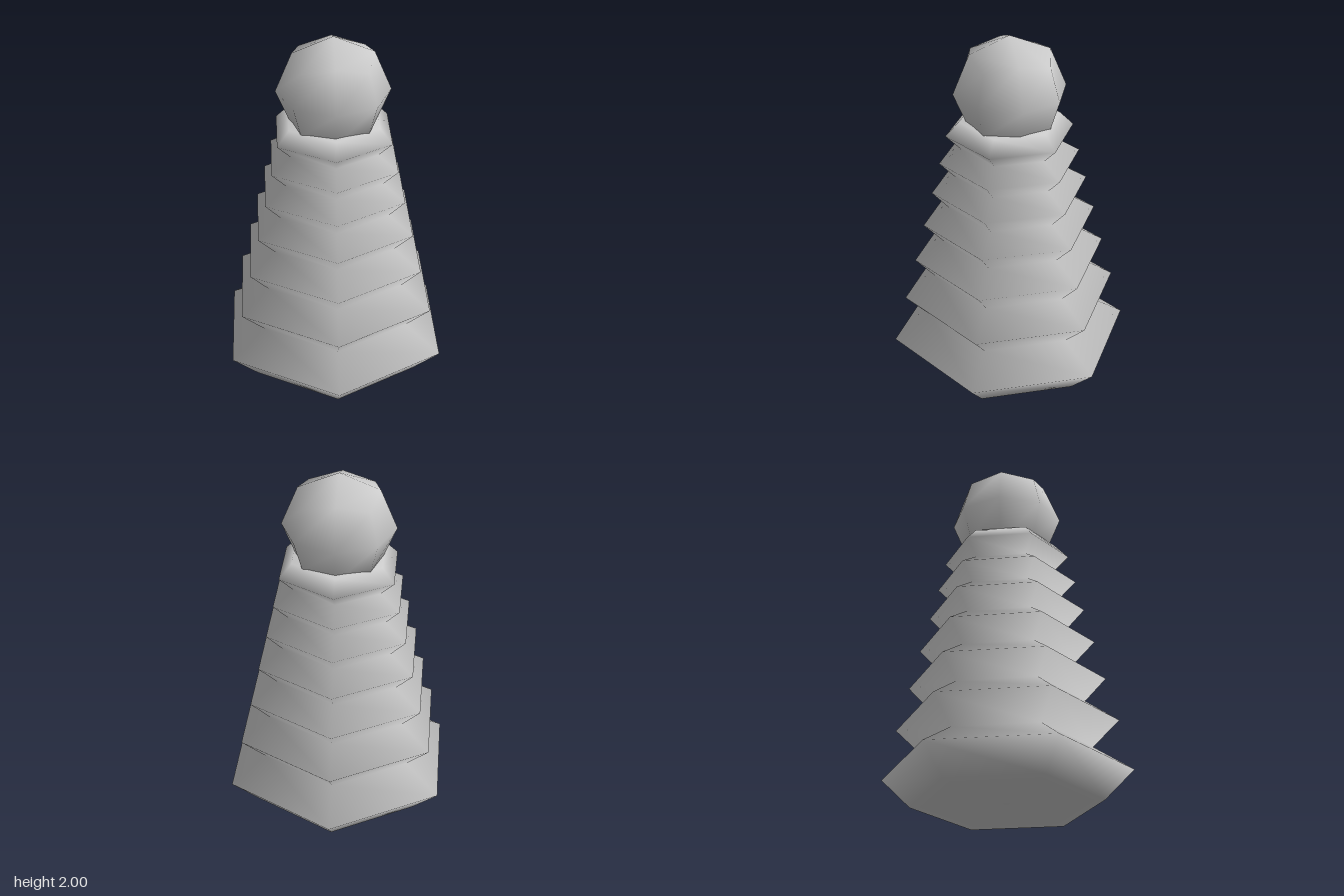
import * as THREE from 'three';
import { mergeVertices } from 'three/addons/utils/BufferGeometryUtils.js';

const material = new THREE.MeshStandardMaterial({ color: 0xcccccc });

// Weld shared corners so that normals run smoothly over the coarse facets
function smooth(geometry) {
  geometry.deleteAttribute('uv');
  geometry.deleteAttribute('normal');
  const welded = mergeVertices(geometry, 1e-4);
  welded.computeVertexNormals();
  return welded;
}

function addPart(group, name, geometry) {
  const mesh = new THREE.Mesh(geometry, material);
  mesh.name = name;
  group.add(mesh);
  return mesh;
}

export function createModel() {
  const model = new THREE.Group();
  model.name = 'ribbedPiece';

  // Six-sided body: [radius, height] of alternating ridges and grooves, closed at both ends
  const profile = [
    [0, 0], [0.52, 0],
    [0.68, 0.16], [0.465, 0.295],
    [0.61, 0.44], [0.43, 0.56],
    [0.545, 0.685], [0.38, 0.79],
    [0.49, 0.907], [0.342, 1.0],
    [0.438, 1.107], [0.305, 1.192],
    [0.393, 1.285], [0.272, 1.362],
    [0.355, 1.447], [0.28, 1.525], [0, 1.525],
  ].map(([r, y]) => new THREE.Vector2(r, y));
  addPart(model, 'ribbedBody', smooth(new THREE.LatheGeometry(profile, 6)));

  // Ball on top: a subdivided cube pushed out onto a sphere
  const radius = 0.31;
  const ball = new THREE.BoxGeometry(1, 1, 1, 2, 2, 2);
  const position = ball.attributes.position;
  const v = new THREE.Vector3();
  for (let i = 0; i < position.count; i++) {
    v.fromBufferAttribute(position, i).setLength(radius);
    position.setXYZ(i, v.x, v.y, v.z);
  }
  addPart(model, 'topBall', smooth(ball)).position.y = 2 - radius;

  return model;
}
